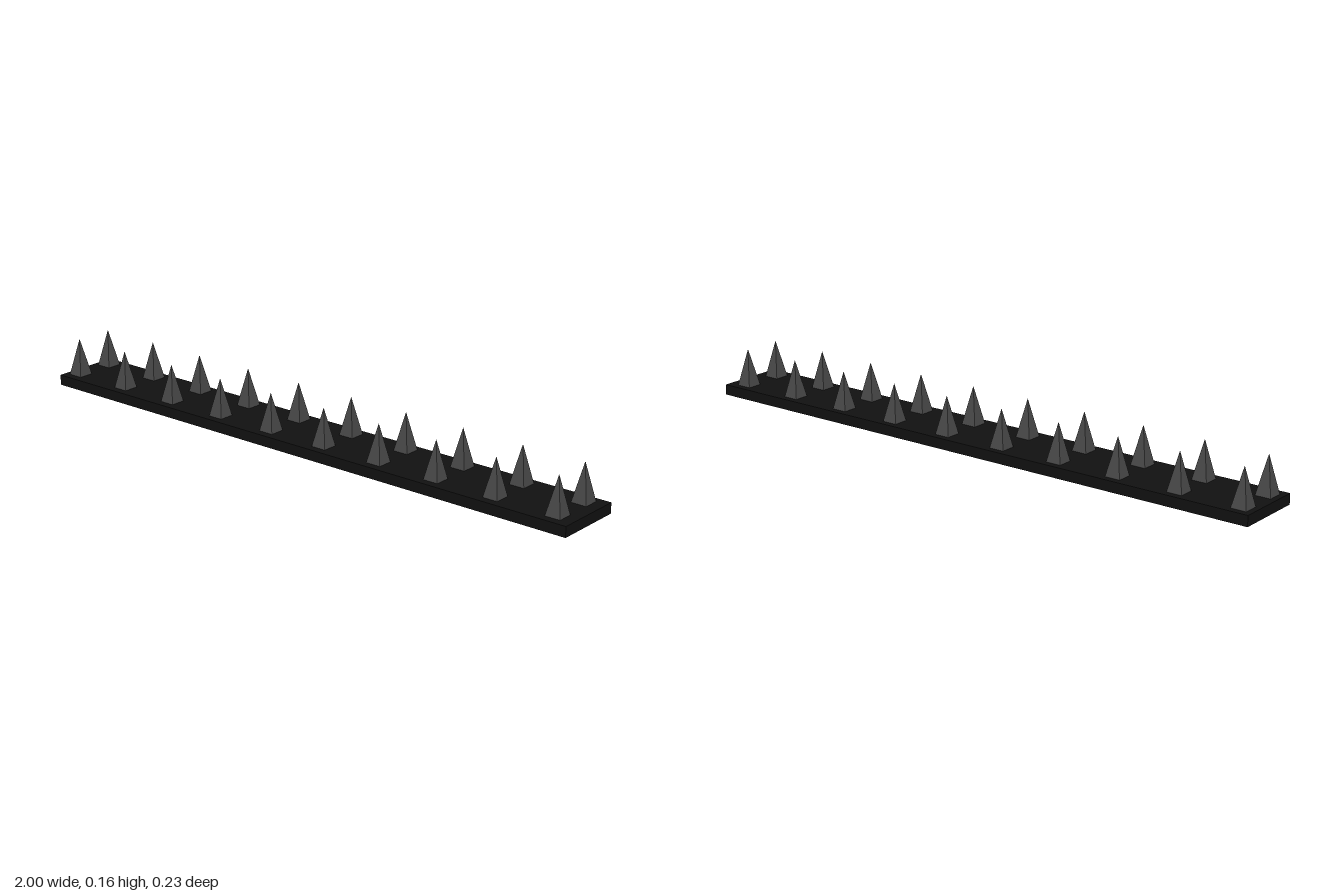
import * as THREE from 'three';

export function createModel() {
  const model = new THREE.Group();
  model.name = 'spikeStrip';

  const baseMaterial = new THREE.MeshStandardMaterial({ color: 0x111111 });
  const spikeMaterial = new THREE.MeshStandardMaterial({ color: 0x484848, flatShading: true });

  // Flat base plank
  const baseHeight = 0.034;
  const base = new THREE.Mesh(new THREE.BoxGeometry(2, baseHeight, 0.228), baseMaterial);
  base.name = 'base';
  base.position.y = baseHeight / 2;
  model.add(base);

  // Four-sided spike, square to the plank, standing on its own base
  const halfWidth = 0.0255, spikeHeight = 0.122;
  const spikeGeometry = new THREE.ConeGeometry(halfWidth * Math.SQRT2, spikeHeight, 4);
  spikeGeometry.rotateY(Math.PI / 4);
  spikeGeometry.translate(0, spikeHeight / 2, 0);

  // Two rows of ten spikes
  const rows = { frontSpike: 0.063, backSpike: -0.067 };
  const count = 10, firstX = -0.956, lastX = 0.938;
  for (const [name, z] of Object.entries(rows)) {
    for (let i = 0; i < count; i++) {
      const spike = new THREE.Mesh(spikeGeometry, spikeMaterial);
      spike.name = `${name}${i + 1}`;
      spike.position.set(THREE.MathUtils.lerp(firstX, lastX, i / (count - 1)), baseHeight, z);
      model.add(spike);
    }
  }
  return model;
}
